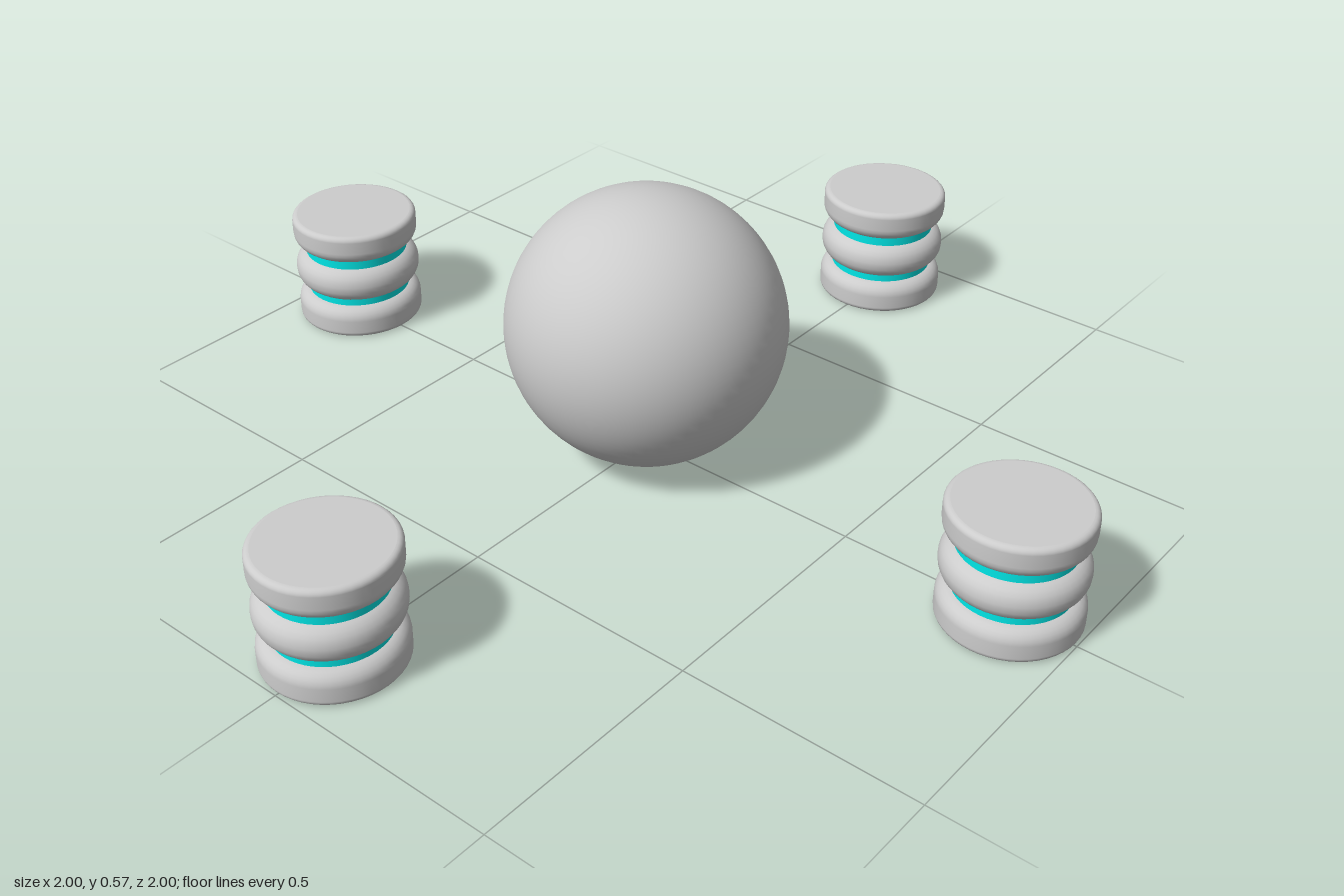
import * as THREE from 'three';

export function createModel() {
  const model = new THREE.Group();
  const grey = new THREE.MeshStandardMaterial({ color: 0xcccccc });
  grey.name = 'light grey';
  const cyan = new THREE.MeshStandardMaterial({ color: 0x00ffff });
  cyan.name = 'cyan';

  // Central ball
  const ball = new THREE.Mesh(new THREE.SphereGeometry(0.285, 64, 40), grey);
  ball.name = 'centralBall';
  ball.position.y = 0.286;
  model.add(ball);

  // Solid disc from y0 to y1 with its own rounding at the bottom and top rim
  const R = 0.138;
  function disc(y0, y1, bottomRound, topRound) {
    const points = [];
    const arc = (cy, r, from) => {
      for (let i = 0; i <= 6; i++) {
        const a = from + (i / 6) * Math.PI / 2;
        points.push(new THREE.Vector2(R - r + r * Math.cos(a), cy + r * Math.sin(a)));
      }
    };
    arc(y0 + bottomRound, bottomRound, -Math.PI / 2);
    arc(y1 - topRound, topRound, 0);
    const side = new THREE.Mesh(new THREE.LatheGeometry(points, 48), grey);
    const group = new THREE.Group();
    group.add(side);
    // Flat caps, kept separate so their edges stay crisp
    for (const [y, r, turn] of [[y0, R - bottomRound, 1], [y1, R - topRound, -1]]) {
      const cap = new THREE.Mesh(new THREE.CircleGeometry(r, 48), grey);
      cap.rotation.x = turn * Math.PI / 2;
      cap.position.y = y;
      group.add(cap);
    }
    return group;
  }

  // Four pods around the ball, each of three discs with glowing bands between
  const names = ['leftPod', 'frontPod', 'rightPod', 'backPod'];
  names.forEach((name, i) => {
    const pod = new THREE.Group();
    pod.name = name;
    const parts = [
      ['bottomDisc', disc(0, 0.07, 0.012, 0.03)],
      ['middleDisc', disc(0.083, 0.165, 0.038, 0.038)],
      ['topDisc', disc(0.183, 0.253, 0.03, 0.012)],
    ];
    for (const [partName, part] of parts) {
      part.name = partName;
      pod.add(part);
    }
    for (const y of [0.076, 0.174]) {
      const band = new THREE.Mesh(new THREE.CylinderGeometry(0.113, 0.113, 0.026, 48, 1, true), cyan);
      band.name = 'glowBand';
      band.position.y = y;
      pod.add(band);
    }
    const a = i * Math.PI / 2;
    pod.position.set(0.86 * Math.cos(a), 0, 0.86 * Math.sin(a));
    model.add(pod);
  });

  return model;
}
